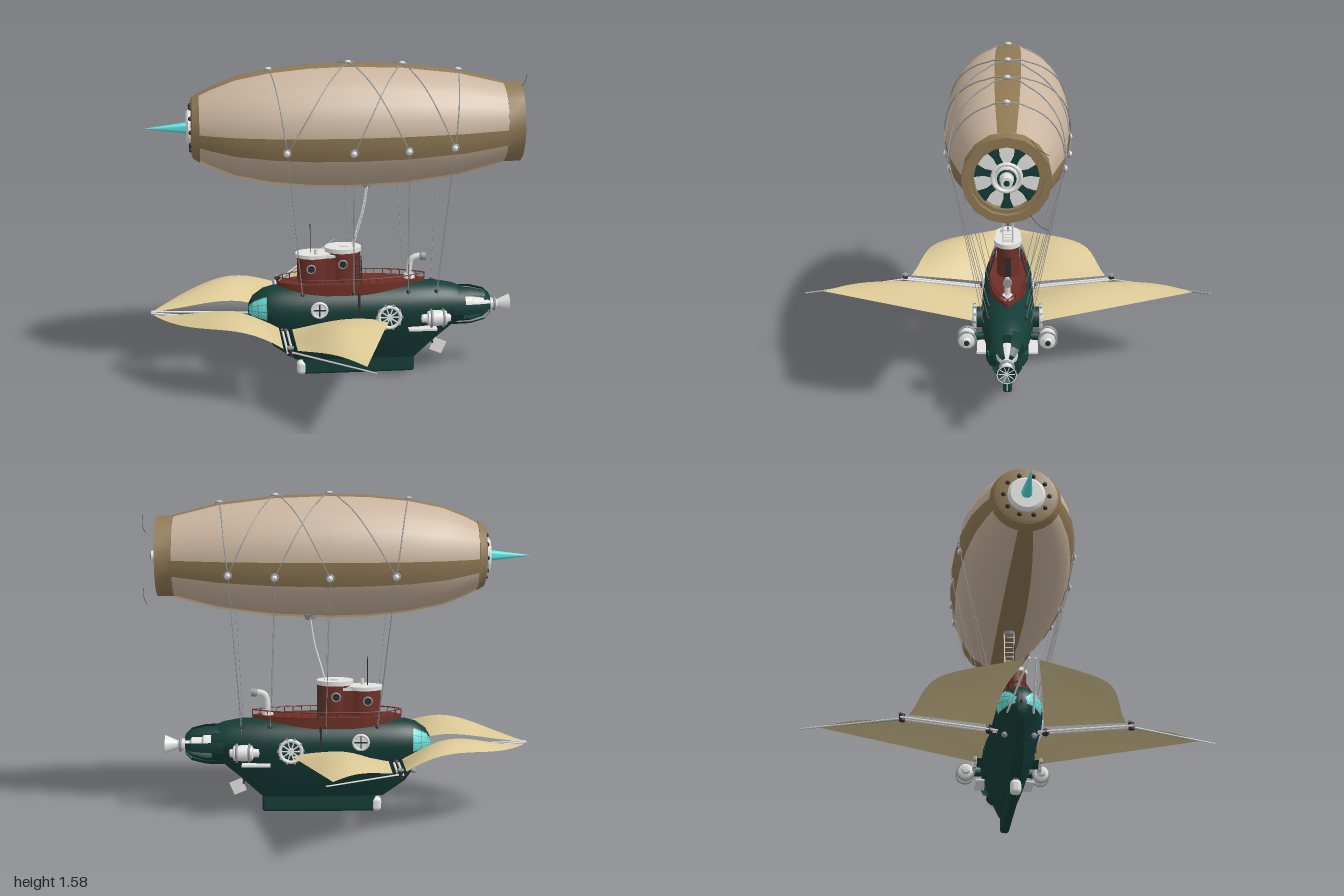
import * as THREE from 'three';
import { toCreasedNormals } from 'three/addons/utils/BufferGeometryUtils.js';
import { RoundedBoxGeometry } from 'three/addons/geometries/RoundedBoxGeometry.js';

const mat = (name, color) => new THREE.MeshStandardMaterial({ name, color, side: THREE.DoubleSide });
const cream = mat('envelope cream', 0xcab59f), tan = mat('sail canvas', 0xdcc996), brown = mat('leather brown', 0x907955);
const green = mat('hull green', 0x153d37), maroon = mat('cabin maroon', 0x6d3027), white = mat('painted white', 0xe4e4e2);
const grey = mat('steel grey', 0x95999c), dark = mat('dark iron', 0x2b2e30), cyan = mat('cyan glass', 0x5ce4e2);

const V = (x, y, z) => new THREE.Vector3(x, y, z);
const AXIS = 1.283, rad = THREE.MathUtils.degToRad, lerp = THREE.MathUtils.lerp;

export function createModel() {
  const model = new THREE.Group();
  const add = (name, geo, m, x = 0, y = 0, z = 0) => {
    const mesh = new THREE.Mesh(geo, m);
    mesh.name = name;
    mesh.position.set(x, y, z);
    model.add(mesh);
    return mesh;
  };
  const rod = (name, a, b, r, m, sides = 6) => {
    const d = b.clone().sub(a);
    const mesh = add(name, new THREE.CylinderGeometry(r, r, d.length(), sides), m);
    mesh.position.copy(a).addScaledVector(d, 0.5);
    mesh.quaternion.setFromUnitVectors(V(0, 1, 0), d.normalize());
    return mesh;
  };
  const tube = (name, pts, r, m, n = 24) => add(name, new THREE.TubeGeometry(new THREE.CatmullRomCurve3(pts), n, r, 6), m);
  const box = (name, w, h, d, m, x, y, z) => add(name, new THREE.BoxGeometry(w, h, d), m, x, y, z);
  // Upright oval drum
  const drum = (name, rx, rz, h, m, x, y) => add(name, new THREE.CylinderGeometry(1, 1, h, 24).scale(rx, 1, rz), m, x, y, 0);
  // Turned part around an x axis; profile points are [x, radius]
  const turned = (name, pts, m, y, z = 0, sides = 24, start = 0, len = Math.PI * 2, crease = 0.5) => {
    const g = new THREE.LatheGeometry(pts.map(p => new THREE.Vector2(p[1], p[0])), sides, start, len).rotateZ(-Math.PI / 2);
    return add(name, toCreasedNormals(g, crease), m, 0, y, z);
  };
  const surface = (fn, nu, nv) => {
    const g = new THREE.PlaneGeometry(1, 1, nu, nv), p = g.attributes.position;
    for (let i = 0; i < p.count; i++) {
      const q = fn((i % (nu + 1)) / nu, Math.floor(i / (nu + 1)) / nv);
      p.setXYZ(i, q.x, q.y, q.z);
    }
    g.computeVertexNormals();
    return g;
  };
  // Ring and glass facing +z or -z
  const porthole = (name, x, y, z, r, ring, glass) => {
    add(name + 'Ring', new THREE.TorusGeometry(r, r * 0.22, 6, 18), ring, x, y, z);
    add(name + 'Glass', new THREE.CylinderGeometry(r, r, 0.006, 18).rotateX(Math.PI / 2), glass, x, y, z);
  };

  // ---- Envelope ----
  const prof = [[-.70, .142], [-.62, .184], [-.5, .232], [-.34, .265], [-.15, .285], [.04, .291], [.3, .281], [.57, .247], [.8, .188]];
  const radiusAt = x => {
    const i = Math.max(1, prof.findIndex(p => p[0] >= x)), [a, b] = [prof[i - 1], prof[i]];
    return lerp(a[1], b[1], (x - a[0]) / (b[0] - a[0]));
  };
  const onEnvelope = (x, deg, off) => {
    const r = radiusAt(x) + off;
    return V(x, AXIS + r * Math.sin(rad(deg)), r * Math.cos(rad(deg)));
  };
  turned('envelope', prof, cream, AXIS, 0, 24, 0, Math.PI * 2, 0.9);
  const outer = prof.map(p => [p[0], p[1] + 0.008]);
  for (const [a, b] of [[78, 102], [-102, -78], [-23, 0], [180, 203]])
    turned('envelopeStrip', outer, brown, AXIS, 0, 3, rad(-b), rad(b - a), 0.9);

  // Nose cap and spike
  turned('noseCollar', [[-.712, 0], [-.712, .13], [-.705, .148], [-.672, .168], [-.672, .15]], brown, AXIS);
  turned('noseDisc', [[-.735, 0], [-.735, .075], [-.725, .088], [-.71, .088]], white, AXIS);
  for (let i = 0; i < 10; i++) {
    const a = i * Math.PI / 5;
    add('noseBolt', new THREE.SphereGeometry(.011, 8, 6), dark, -.713, AXIS + .107 * Math.sin(a), .107 * Math.cos(a));
  }
  turned('noseSpike', [[-.93, .001], [-.73, .027]], cyan, AXIS, 0, 18, 0, Math.PI * 2, 1.2);

  // Rear duct and fan
  turned('rearDuct', [[.79, .158], [.79, .195], [.87, .195], [.87, .16], [.79, .158]], brown, AXIS, 0, 16);
  turned('fanBackplate', [[.80, .16], [.805, 0]], white, AXIS);
  turned('fanRim', [[.81, .143], [.81, .16], [.845, .16], [.845, .143], [.81, .143]], brown, AXIS, 0, 16);
  const blade = new THREE.Shape([[-.014, .065], [.014, .065], [.014, .10], [.03, .142], [-.03, .142], [-.014, .10]].map(p => new THREE.Vector2(...p)));
  for (let i = 0; i < 7; i++) {
    const g = new THREE.ExtrudeGeometry(blade, { depth: .012, bevelEnabled: false }).rotateY(Math.PI / 2).rotateX(i * Math.PI * 2 / 7 + Math.PI);
    add('fanBlade', g, green, .815, AXIS, 0);
  }
  add('fanRing', new THREE.TorusGeometry(.062, .009, 8, 24).rotateY(Math.PI / 2), white, .83, AXIS, 0);
  turned('fanHub', [[.80, .048], [.84, .048], [.843, .025]], white, AXIS, 0, 14);
  add('fanHubRing', new THREE.TorusGeometry(.037, .005, 6, 20).rotateY(Math.PI / 2), green, .843, AXIS, 0);
  turned('fanShaft', [[.84, .026], [.90, .026], [.90, 0]], white, AXIS, 0, 14);
  add('fanShaftCap', new THREE.CylinderGeometry(.013, .013, .004, 12).rotateZ(Math.PI / 2), green, .902, AXIS, 0);
  for (const y of [1.10, 1.44])
    tube('airWisp', [V(.905, y - .03, -.18), V(.925, y, -.14), V(.928, y + .05, -.10)], .001, dark, 8);

  // Net cables, nodes and hanging lines
  const topX = [-.34, .04, .30, .57], sideX = [-.27, .04, .30, .52], lowX = [-.19, .06, .33, .47];
  topX.forEach(x => {
    add('topNode', new THREE.CylinderGeometry(.012, .016, .016, 10), white, x, AXIS + radiusAt(x) + .012, 0);
    add('topNodeRing', new THREE.TorusGeometry(.017, .005, 6, 14).rotateX(Math.PI / 2), grey, x, AXIS + radiusAt(x) + .011, 0);
  });
  for (const s of [1, -1]) {
    for (const [t, d] of [[0, 0], [1, 0], [1, 2], [2, 1], [2, 3], [3, 3]]) {
      const pts = [];
      for (let k = 0; k <= 16; k++) {
        const p = onEnvelope(lerp(sideX[d], topX[t], k / 16), lerp(-14, 90, k / 16), k < 3 || k > 13 ? .009 : .003);
        pts.push(V(p.x, p.y, p.z * s));
      }
      tube('netCable', pts, .003, grey, 32);
    }
    sideX.forEach((x, i) => {
      const p = onEnvelope(x, -14, .012);
      p.z *= s;
      add('sideNode', new THREE.SphereGeometry(.014, 10, 8), white, p.x, p.y, p.z);
      add('sideNodeRing', new THREE.TorusGeometry(.016, .005, 6, 14), grey, p.x, p.y, p.z);
      rod('hangingLine', p, V(lowX[i], .46, s * .09), .0016, grey, 5);
      rod('hangingLine', p, V(lowX[i], .43, s * .112), .0014, grey, 5);
      add('lineCleat', new THREE.SphereGeometry(.01, 8, 6), dark, lowX[i], .455, s * .09);
    });
  }

  // Ladder from the cabin roof to the envelope
  const ladder = new THREE.CatmullRomCurve3([V(.06, .66, 0), V(.085, .75, 0), V(.115, .86, 0), V(.135, .99, 0)]);
  for (const s of [1, -1]) tube('ladderRail', ladder.getPoints(10).map(p => V(p.x, p.y, s * .024)), .003, white);
  for (let i = 0; i <= 13; i++) {
    const p = ladder.getPoint(i / 13);
    rod('ladderRung', V(p.x, p.y, -.024), V(p.x, p.y, .024), .0025, white);
  }
  add('ladderHatch', new THREE.CylinderGeometry(.032, .024, .025, 12), grey, .135, .985, 0);

  // ---- Hull: stations of [x, top, half width, bottom] ----
  const st = [[-.455, .37, .005, .35], [-.45, .395, .035, .31], [-.43, .43, .065, .28], [-.38, .465, .095, .24], [-.33, .478, .11, .17],
    [-.22, .485, .122, .095], [0, .485, .125, .09], [.2, .485, .125, .09], [.37, .485, .122, .09], [.48, .48, .11, .19],
    [.56, .465, .098, .255], [.62, .44, .08, .28], [.621, .36, 0, .36]];
  const hullPoint = (u, t, off = 0) => {
    const i = Math.min(Math.floor(u), st.length - 2), [x, top, w, bot] = st[i].map((a, k) => lerp(a, st[i + 1][k], u - i));
    const s = Math.sin(t), c = Math.cos(t);
    if (s >= 0) return V(x, .36 + (top - .36 + off) * s, (w + off) * c);
    const a = Math.asin(-s) / (Math.PI / 2), f = Math.min(a / .9, 1);
    const z = (w + off) * (1 - .78 * f ** 1.4) * Math.min(1, (1 - a) / .1);
    return V(x, .36 - (.36 - bot + off) * f, z * Math.sign(c));
  };
  const n = st.length - 1;
  add('hull', toCreasedNormals(surface((u, v) => hullPoint(u * n, -Math.PI / 2 - v * Math.PI * 2), n * 2, 40), .7), green);
  const patch = (name, m, u0, u1, t0, t1, off, nu = 8, nv = 6) =>
    add(name, surface((u, v) => hullPoint(lerp(u0, u1, u), lerp(t1, t0, v), off), nu, nv), m);
  for (const side of [0, 1]) {
    const T = t => side ? Math.PI - t : t;
    patch('noseWindow', cyan, .6, 3.3, T(-.28), T(.8), .004);
    for (const u of [1.6, 2.4, 3.25]) patch('windowFrame', brown, u, u + .06, T(-.3), T(.83), .006, 1, 8);
    for (const t of [-.3, .12, .45, .8]) patch('windowFrame', brown, .6, 3.3, T(t), T(t + .03), .006, 8, 1);
    patch('hullSeam', dark, 3.2, 10.6, T(-.385), T(-.365), .003, 20, 1);
  }

  // Keel
  add('keel', new RoundedBoxGeometry(.56, .10, .044, 3, .015), green, .095, .06, 0);
  add('keelNose', new RoundedBoxGeometry(.05, .07, .052, 3, .02), white, -.19, .045, 0);
  rod('rudderPost', V(.43, .24, 0), V(.47, .15, 0), .006, dark);
  box('rudder', .065, .065, .008, white, .495, .135, 0).rotation.z = -.4;

  // Tail cage and nozzle
  for (let i = 0; i < 6; i++)
    turned('tailRib', [[.56, .085], [.56, .1], [.65, .098], [.72, .08], [.75, .05], [.75, .03], [.72, .06], [.65, .082], [.56, .085]], green, .352, 0, 4, i * Math.PI / 3 - .26, .52);
  turned('tailEngine', [[.6, .05], [.66, .05], [.67, .035], [.72, .035], [.73, .018], [.77, .018]], white, .35, 0, 16);
  turned('tailNozzle', [[.75, 0], [.755, .028], [.78, .028], [.79, .02], [.85, .046], [.85, .041]], white, .35, 0, 18);
  turned('nozzleThroat', [[.85, .041], [.82, 0]], green, .35, 0, 18);
  for (let i = 0; i < 10; i++) {
    const a = i * Math.PI / 5;
    rod('nozzleVane', V(.842, .35, 0), V(.847, .35 + .041 * Math.sin(a), .041 * Math.cos(a)), .0025, white, 5);
  }
  add('nozzleRing', new THREE.TorusGeometry(.03, .007, 8, 18).rotateY(Math.PI / 2), grey, .775, .35, 0);

  // ---- Deck and cabin ----
  const deck = new THREE.Shape();
  deck.moveTo(-.31, 0);
  deck.bezierCurveTo(-.25, .09, -.1, .093, .05, .093);
  deck.bezierCurveTo(.2, .093, .32, .065, .42, 0);
  deck.bezierCurveTo(.32, -.065, .2, -.093, .05, -.093);
  deck.bezierCurveTo(-.1, -.093, -.25, -.09, -.31, 0);
  add('deck', new THREE.ExtrudeGeometry(deck, { depth: .055, bevelEnabled: false, curveSegments: 10 }).rotateX(-Math.PI / 2), maroon, 0, .445, 0);
  const rail = deck.getSpacedPoints(36);
  tube('deckRail', rail.map(p => V(p.x, .525, p.y * .96)), .003, maroon, 72);
  rail.forEach(p => rod('railPost', V(p.x, .495, p.y * .96), V(p.x, .527, p.y * .96), .0022, maroon, 5));
  drum('frontCabin', .085, .057, .13, maroon, -.125, .565);
  box('cabinLink', .11, .13, .09, maroon, -.06, .56, 0);
  drum('frontRoof', .09, .064, .018, white, -.13, .635);
  box('roofLink', .08, .014, .09, white, -.06, .632, 0);
  drum('tower', .08, .055, .16, maroon, .02, .575);
  drum('towerRoof', .09, .068, .022, white, .015, .662);
  for (const s of [1, -1]) {
    porthole('cabinPorthole', -.145, .575, s * .058, .02, grey, dark);
    porthole('towerPorthole', .01, .595, s * .056, .02, grey, dark);
    for (const x of [.07, .10]) rod('sideLadderRail', V(x, .64, s * .058), V(x, .50, s * .095), .0025, dark);
    for (let k = 0; k < 7; k++)
      rod('sideLadderRung', V(.07, .63 - k * .02, s * (.061 + k * .005)), V(.10, .63 - k * .02, s * (.061 + k * .005)), .002, dark);
    rod('hullLadder', V(.085, .46, s * .11), V(.085, .33, s * .125), .006, dark);
  }
  box('towerDoor', .006, .1, .03, dark, .099, .555, 0);
  rod('antenna', V(-.145, .64, 0), V(-.145, .79, 0), .002, dark);
  rod('periscope', V(-.12, .64, .03), V(-.12, .67, .03), .009, white);
  box('roofHatch', .04, .008, .04, white, .02, .675, 0);
  tube('ventPipe', [V(.345, .47, 0), V(.345, .55, 0), V(.355, .595, 0), V(.38, .61, 0), V(.41, .61, 0)], .015, white);
  turned('ventMouth', [[.395, .015], [.405, .021], [.425, .021], [.425, 0]], grey, .61, 0, 12);
  add('ventCollar', new THREE.CylinderGeometry(.024, .028, .02, 12), white, .345, .51, 0);

  for (const s of [1, -1]) {
    // Portlight, geared wheel and engine pod
    porthole('hullPortlight', -.11, .385, s * .124, .036, white, white);
    for (const r of [0, 1]) box('portlightBar', r ? .006 : .07, r ? .07 : .006, .012, green, -.11, .385, s * .124);
    add('wheelRing', new THREE.TorusGeometry(.053, .009, 8, 28), white, .23, .35, s * .16);
    add('wheelDisc', new THREE.CylinderGeometry(.05, .05, .05, 24).rotateX(Math.PI / 2), green, .23, .35, s * .13);
    add('wheelHub', new THREE.CylinderGeometry(.016, .016, .02, 12).rotateX(Math.PI / 2), white, .23, .35, s * .162);
    for (let k = 0; k < 10; k++) {
      const a = k * Math.PI / 5, c = Math.cos(a), d = Math.sin(a);
      rod('wheelSpoke', V(.23, .35, s * .16), V(.23 + .05 * c, .35 + .05 * d, s * .16), .004, white);
      box('wheelTooth', .01, .01, .014, grey, .23 + .061 * c, .35 + .061 * d, s * .16).rotation.z = a;
    }
    turned('enginePod', [[.38, 0], [.385, .02], [.41, .022], [.415, .036], [.45, .04], [.505, .036], [.51, .022], [.525, .018], [.525, 0]], white, .35, s * .19, 18);
    for (const x of [.43, .49]) add('podRing', new THREE.TorusGeometry(.041, .006, 8, 20).rotateY(Math.PI / 2), grey, x, .35, s * .19);
    add('podExhaust', new THREE.CylinderGeometry(.013, .013, .006, 12).rotateZ(Math.PI / 2), dark, .526, .35, s * .19);
    rod('podStrut', V(.45, .355, s * .08), V(.45, .35, s * .17), .018, green, 10);
    box('podFin', .14, .01, .05, white, .40, .272, s * .12);
    add('anchor', new THREE.SphereGeometry(.014, 8, 6), grey, -.37, .23, s * .068);

    // Spars
    rod('bowsprit', V(-.93, .358, s * .013), V(-.42, .32, s * .06), .005, white);
    for (const x of [-.292, -.27]) rod('mast', V(x, .28, s * .08), V(x, .33, s * .54), .006, white);
    add('mastHinge', new THREE.CylinderGeometry(.014, .014, .035, 12), dark, -.28, .332, s * .53);
    add('mastHingeCap', new THREE.CylinderGeometry(.016, .016, .008, 12), grey, -.28, .352, s * .53);
    add('mastFoot', new THREE.SphereGeometry(.018, 10, 8), dark, -.28, .285, s * .13);
    for (const d of [0, .012]) rod('boom', V(-.275 + d, .33, s * .535), V(.066, .40, s * 1), .0035, d ? grey : white);

    // Front sail: fans out from the bow tip
    const tip = V(-.92, .355, .03), fi = V(-.31, .30, .12), fo = V(-.31, .335, .5);
    add('frontSail', surface((u, v) => {
      const p = tip.clone().lerp(fi.clone().lerp(fo, v), u);
      p.z += .62 * v * u * (1 - u) ** 1.5;
      p.y += .095 * Math.sin(Math.PI * u ** 1.5) * Math.sin(Math.PI * (.2 + .6 * v));
      p.z *= s;
      return p;
    }, 14, 10), tan);

    // Rear sail: mast edge to trailing edge
    const a = V(-.245, .29, .12), b = V(-.245, .332, .52), c = V(.035, .397, .915), d = V(.23, .32, .13);
    add('rearSail', surface((u, v) => {
      const p = a.clone().lerp(b, v).lerp(d.clone().lerp(c, v), u);
      p.y += .065 * Math.sin(Math.PI * u ** 1.2) * Math.sin(Math.PI * (.15 + .75 * v));
      p.z *= s;
      return p;
    }, 12, 12), tan);
  }
  return model;
}
